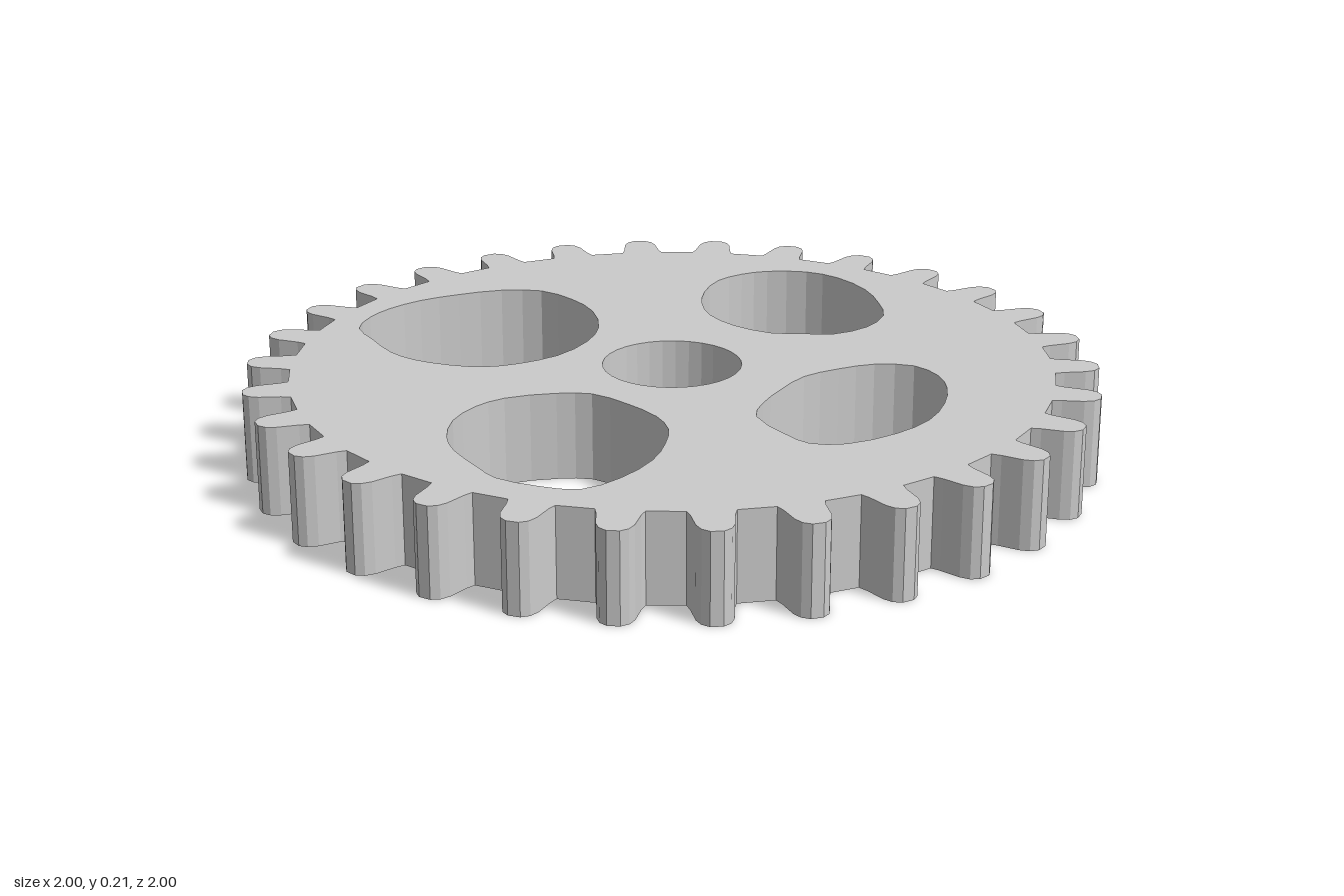
import * as THREE from 'three';

const THICKNESS = 0.21;
const TEETH = 30;
const PITCH = (2 * Math.PI) / TEETH;
const PHASE = THREE.MathUtils.degToRad(2.9);

// Half of a tooth: [radius, sideways offset] from root to tip
const FLANK = [[0.893, 0.052], [0.915, 0.046], [0.965, 0.04], [0.987, 0.031], [1.0, 0.014]];

// Irregular rounded windows, as [x, y] points on the face of the gear
const backLeftWindow = [
  [-0.35, 0.62], [-0.25, 0.60], [-0.18, 0.52], [-0.14, 0.42], [-0.14, 0.29], [-0.18, 0.19],
  [-0.26, 0.10], [-0.36, 0.055], [-0.44, 0.045], [-0.52, 0.07], [-0.60, 0.12], [-0.65, 0.18],
  [-0.69, 0.28], [-0.72, 0.37], [-0.69, 0.45], [-0.64, 0.51], [-0.56, 0.565], [-0.46, 0.60],
];
const backRightWindow = [
  [0.35, 0.68], [0.45, 0.66], [0.52, 0.60], [0.57, 0.49], [0.58, 0.38], [0.57, 0.28],
  [0.51, 0.20], [0.42, 0.16], [0.34, 0.175], [0.27, 0.19], [0.19, 0.26], [0.145, 0.35],
  [0.14, 0.44], [0.16, 0.53], [0.21, 0.62], [0.28, 0.665],
];
const frontRightWindow = [
  [0.47, -0.07], [0.56, -0.095], [0.60, -0.17], [0.60, -0.25], [0.57, -0.35], [0.51, -0.45],
  [0.42, -0.52], [0.30, -0.565], [0.22, -0.55], [0.18, -0.49], [0.135, -0.37], [0.165, -0.29],
  [0.22, -0.21], [0.29, -0.13], [0.38, -0.09],
];
const frontLeftWindow = [
  [-0.29, -0.16], [-0.21, -0.175], [-0.14, -0.25], [-0.085, -0.34], [-0.07, -0.42], [-0.09, -0.51],
  [-0.13, -0.60], [-0.21, -0.69], [-0.30, -0.74], [-0.385, -0.71], [-0.47, -0.65], [-0.50, -0.59],
  [-0.545, -0.48], [-0.555, -0.40], [-0.535, -0.30], [-0.48, -0.22], [-0.41, -0.175],
];

// Toothed outer outline, counter-clockwise
function gearOutline() {
  const profile = [
    ...FLANK.map(([r, w]) => [r, -w]),
    ...FLANK.slice().reverse(),
  ];
  const points = [];
  for (let i = 0; i < TEETH; i++) {
    const a = PHASE + i * PITCH;
    for (const [r, w] of profile) {
      points.push(new THREE.Vector2(
        r * Math.cos(a) - w * Math.sin(a),
        r * Math.sin(a) + w * Math.cos(a),
      ));
    }
  }
  return new THREE.Shape(points);
}

// Smooth closed hole through a few points
function windowPath(points) {
  const curve = new THREE.CatmullRomCurve3(
    points.map(([x, y]) => new THREE.Vector3(x, y, 0)), true);
  const ring = curve.getPoints(points.length * 2).slice(0, -1);
  return new THREE.Path(ring.map((p) => new THREE.Vector2(p.x, p.y)));
}

export function createModel() {
  const group = new THREE.Group();
  group.name = 'gear';

  const shape = gearOutline();
  for (const w of [backLeftWindow, backRightWindow, frontRightWindow, frontLeftWindow]) {
    shape.holes.push(windowPath(w));
  }

  // Round axle bore in the middle
  const bore = new THREE.Path();
  bore.absarc(0, 0.003, 0.164, 0, Math.PI * 2, true);
  shape.holes.push(bore);

  // Lay the flat profile down so its thickness runs up from the ground
  const geometry = new THREE.ExtrudeGeometry(shape, {
    depth: THICKNESS, bevelEnabled: false, curveSegments: 16,
  });
  geometry.rotateX(-Math.PI / 2);

  const material = new THREE.MeshStandardMaterial({ color: 0xcccccc, flatShading: true });
  const wheel = new THREE.Mesh(geometry, material);
  wheel.name = 'toothedWheel';
  group.add(wheel);
  return group;
}
